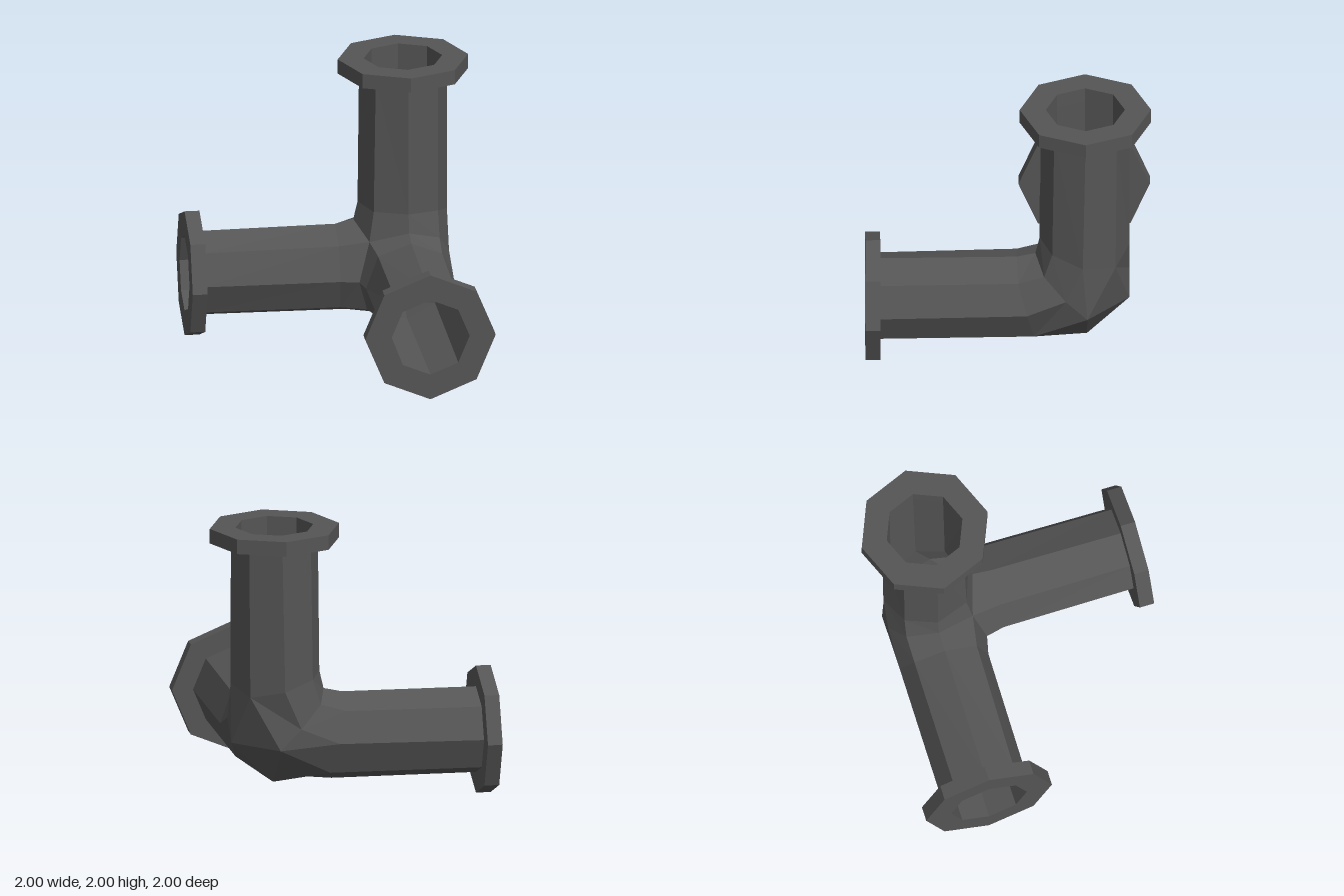
import * as THREE from 'three';

const CENTER = new THREE.Vector3(0.54, 0.46, -0.54); // where the three pipe axes meet
const LENGTH = 1.54, FLANGE = 0.105, BORE = 0.277, LINING = 0.89;

// Arm-local points (a, b across, c along) are permuted to give the three arms.
const ARMS = [
  { name: 'front', map: ([a, b, c]) => [a, b, c], rot: [0, 0, 0] },
  { name: 'right', map: ([a, b, c]) => [c, a, b], rot: [0, -Math.PI / 2, 0] },
  { name: 'top', map: ([a, b, c]) => [b, c, a], rot: [-Math.PI / 2, 0, 0] },
];

// Where the arms join: the outer corner has two points per arm
const CORNER = [[-0.308, -0.012, -0.012], [-0.012, -0.308, -0.012], [-0.012, -0.012, -0.308]];
const JOINT = [
  [0.35, 0, 0.35], [0.27, 0.27, 0.27], [0, 0.35, 0.35], [-0.222, 0.29, 0.29],
  [-0.308, 0.137, 0.137], CORNER[0], CORNER[1], [0.137, -0.308, 0.137], [0.29, -0.222, 0.29],
];
// Where each bend turns into a straight pipe
const BEND = [
  [0.32, 0, 0.48], [0.235, 0.235, 0.48], [0, 0.32, 0.48], [-0.218, 0.233, 0.47],
  [-0.308, 0.02, 0.41], [-0.21, -0.21, 0.36], [-0.21, -0.21, 0.36], [0.02, -0.308, 0.41], [0.233, -0.218, 0.47],
];

function octagon(r) {
  return Array.from({ length: 8 }, (_, i) =>
    new THREE.Vector2(Math.cos(i * Math.PI / 4) * r, Math.sin(i * Math.PI / 4) * r));
}

// Octagonal pipe end, with the outer corner point doubled to match the joint
function endRing(r, c) {
  const ring = octagon(r).map((p) => [p.x, p.y, c]);
  ring.splice(5, 0, ring[5]);
  return ring;
}

function buildGeometry(triangles, inward) {
  const pos = [];
  for (const tri of triangles) {
    const order = inward ? tri : [...tri].reverse();
    for (const [u, v, w] of order) pos.push(CENTER.x - u, CENTER.y + v, CENTER.z + w);
  }
  const geo = new THREE.BufferGeometry();
  geo.setAttribute('position', new THREE.Float32BufferAttribute(pos, 3));
  geo.computeVertexNormals();
  return geo;
}

// Loft joint -> bend -> end, skipping the collapsed sides of the doubled corner
function armTriangles(map, scale, endRadius) {
  const sc = (ring) => ring.map((p) => p.map((n) => n * scale));
  const rings = [sc(JOINT), sc(BEND), endRing(endRadius, LENGTH - FLANGE)];
  const same = (p, q) => p.every((n, i) => Math.abs(n - q[i]) < 1e-6);
  const out = [];
  for (let r = 0; r < 2; r++) {
    for (let i = 0; i < 9; i++) {
      const j = (i + 1) % 9;
      const [p, q, s, t] = [rings[r][i], rings[r][j], rings[r + 1][j], rings[r + 1][i]];
      if (!same(p, q)) out.push([p, q, s].map(map));
      if (!same(s, t)) out.push([p, s, t].map(map));
    }
  }
  return out;
}

export function createModel() {
  const model = new THREE.Group();
  model.name = 'cornerPipe';
  const iron = new THREE.MeshStandardMaterial({ color: 0x555555 });
  iron.name = 'dark iron';
  iron.flatShading = true;

  const add = (geo, name) => {
    const mesh = new THREE.Mesh(geo, iron);
    mesh.name = name;
    model.add(mesh);
    return mesh;
  };

  // Flange plate with an octagonal bore
  const plate = new THREE.Shape(octagon(0.46));
  plate.holes.push(new THREE.Path(octagon(BORE).reverse()));
  const flangeGeo = new THREE.ExtrudeGeometry(plate, { depth: FLANGE, bevelEnabled: false });
  flangeGeo.translate(0, 0, LENGTH - FLANGE);

  for (const { name, map, rot } of ARMS) {
    add(buildGeometry(armTriangles(map, 1, 0.31), false), name + 'Pipe');
    add(buildGeometry(armTriangles(map, LINING, BORE), true), name + 'PipeInside');
    const flange = add(flangeGeo, name + 'Flange');
    flange.position.copy(CENTER);
    flange.rotation.set(...rot);
  }

  // Facet closing the outer corner, outside and inside
  const cap = [CORNER[0], CORNER[2], CORNER[1]];
  add(buildGeometry([cap], false), 'cornerFacet');
  add(buildGeometry([cap.map((p) => p.map((n) => n * LINING))], true), 'cornerFacetInside');
  return model;
}
